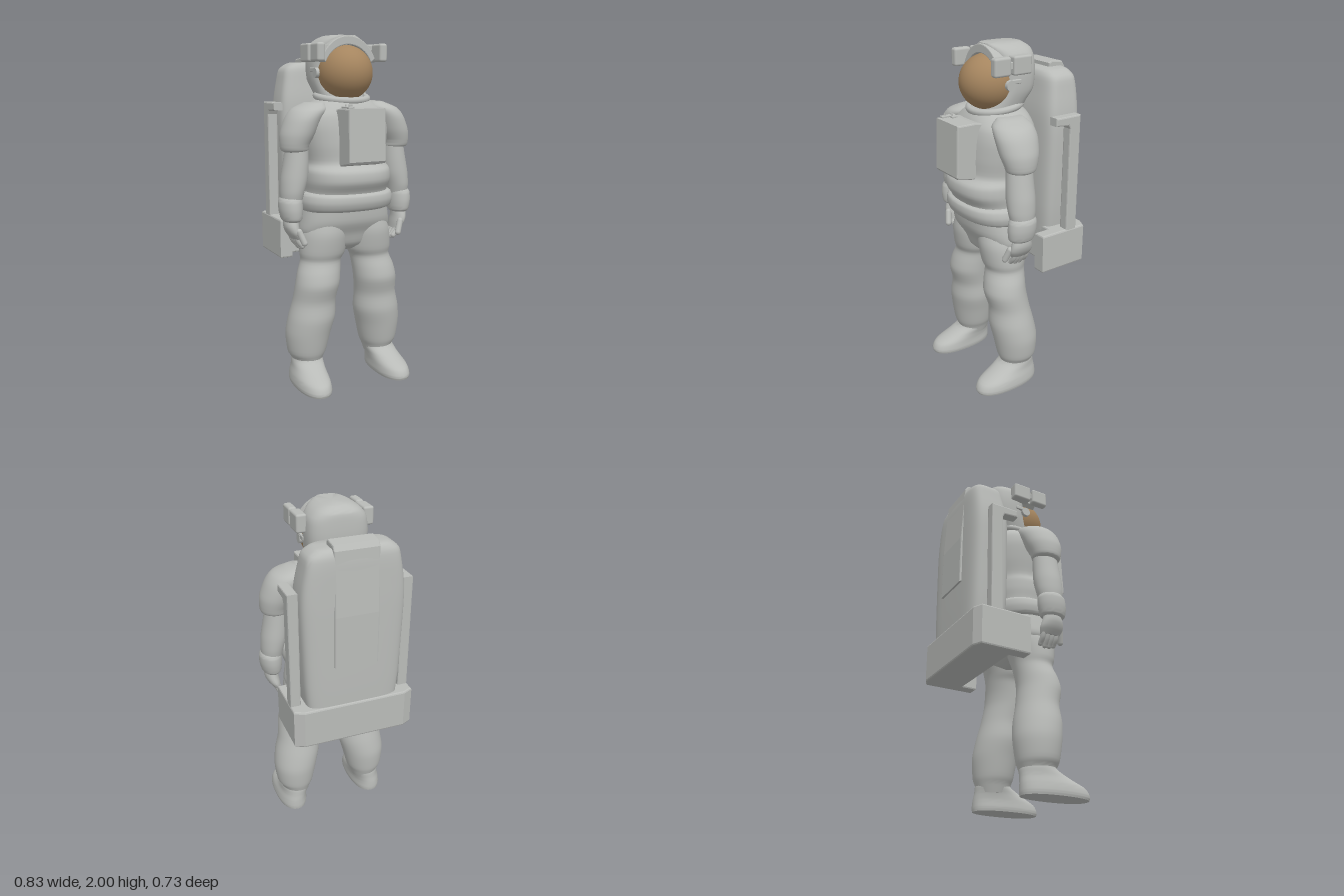
import * as THREE from 'three';
import { toCreasedNormals } from 'three/addons/utils/BufferGeometryUtils.js';
import { RoundedBoxGeometry } from 'three/addons/geometries/RoundedBoxGeometry.js';

const suit = new THREE.MeshStandardMaterial({ color: 0xb9bbb8 });
suit.name = 'suit grey';
const gold = new THREE.MeshStandardMaterial({ color: 0xa5855f });
gold.name = 'visor bronze';

// Smooth upright loft. Each section: [y, centre x, front z, back z, half width, squareness]
function loft(sections, s = 1, steps = 4, sides = 32, crease = 0.7) {
  const a = new THREE.CatmullRomCurve3(sections.map(q => new THREE.Vector3(q[1] * s, q[0], q[4])), false, 'catmullrom', 0.4);
  const b = new THREE.CatmullRomCurve3(sections.map(q => new THREE.Vector3(q[2], q[3], q[5] ?? 2)), false, 'catmullrom', 0.4);
  const rows = (sections.length - 1) * steps, pos = [], idx = [];
  const power = (v, e) => Math.sign(v) * Math.abs(v) ** (2 / e);
  for (let i = 0; i <= rows; i++) {
    const m = a.getPoint(i / rows), n = b.getPoint(i / rows);
    for (let j = 0; j < sides; j++) {
      const t = j / sides * Math.PI * 2;
      pos.push(m.x + m.z * power(Math.cos(t), n.z), m.y, (n.x + n.y) / 2 + (n.x - n.y) / 2 * power(Math.sin(t), n.z));
    }
  }
  for (let i = 0; i < rows; i++) for (let j = 0; j < sides; j++) {
    const k = (j + 1) % sides, p = i * sides, r = p + sides;
    idx.push(p + j, r + j, p + k, p + k, r + j, r + k);
  }
  // end caps
  for (const i of [0, rows]) {
    const m = a.getPoint(i / rows), n = b.getPoint(i / rows), c = pos.length / 3;
    pos.push(m.x, m.y, (n.x + n.y) / 2);
    for (let j = 0; j < sides; j++) {
      const p = i * sides + j, q = i * sides + (j + 1) % sides;
      idx.push(c, ...(i ? [q, p] : [p, q]));
    }
  }
  const g = new THREE.BufferGeometry();
  g.setAttribute('position', new THREE.Float32BufferAttribute(pos, 3));
  g.setIndex(idx);
  return toCreasedNormals(g, crease);
}

// Bevelled extrusion of a point outline
function slab(points, depth, bevel) {
  const shape = new THREE.Shape(points.map(p => new THREE.Vector2(...p)));
  const g = new THREE.ExtrudeGeometry(shape, {
    depth: depth - 2 * bevel, bevelSize: bevel, bevelOffset: -bevel, bevelThickness: bevel, bevelSegments: 2, curveSegments: 20
  });
  return g.translate(0, 0, bevel - depth / 2);
}
// Outline given as (z, y), thickness along x
const sideSlab = (points, width, x, bevel = 0.008) => slab(points, width, bevel).rotateY(-Math.PI / 2).translate(x, 0, 0);
const box = (w, h, d, x, y, z, r = 0.012) => new RoundedBoxGeometry(w, h, d, 2, r).translate(x, y, z);

export function createModel() {
  const root = new THREE.Group();
  const add = (name, geometry, material = suit, parent = root) => {
    const m = new THREE.Mesh(geometry, material);
    m.name = name;
    parent.add(m);
    return m;
  };

  // Torso, belt and shorts
  add('torso', loft([
    [1.08, 0, 0.27, -0.12, 0.255, 2.4], [1.14, 0, 0.28, -0.12, 0.248, 2.4], [1.2, 0, 0.315, -0.13, 0.255, 2.4],
    [1.26, 0, 0.31, -0.13, 0.252, 2.4], [1.305, 0, 0.265, -0.13, 0.235, 2.4], [1.4, 0, 0.26, -0.14, 0.25, 2.5],
    [1.5, 0, 0.25, -0.14, 0.262, 2.5], [1.57, 0, 0.235, -0.13, 0.25, 2.4], [1.62, 0, 0.21, -0.12, 0.2, 2.2],
    [1.655, 0, 0.185, -0.1, 0.145, 2]]));
  add('belt', loft([
    [1.03, 0, 0.25, -0.1, 0.255, 2.4], [1.045, 0, 0.285, -0.12, 0.272, 2.4], [1.085, 0, 0.302, -0.13, 0.28, 2.4],
    [1.125, 0, 0.298, -0.13, 0.27, 2.4], [1.14, 0, 0.27, -0.12, 0.25, 2.4]]));
  add('shorts', loft([
    [0.79, 0, 0.14, 0.02, 0.06], [0.83, 0, 0.19, -0.04, 0.2, 2.3], [0.9, 0, 0.215, -0.07, 0.275, 2.4],
    [0.97, 0, 0.25, -0.09, 0.27, 2.4], [1.06, 0, 0.26, -0.1, 0.25, 2.4]]));

  // Limbs, mirrored
  for (const s of [1, -1]) {
    const side = s > 0 ? 'left' : 'right';
    const leg = new THREE.Group();
    leg.name = side + 'Leg';
    root.add(leg);
    add(side + 'Trouser', loft([
      [0.1, 0.24, 0.15, -0.03, 0.08], [0.15, 0.238, 0.165, -0.045, 0.095], [0.19, 0.24, 0.18, -0.055, 0.115],
      [0.3, 0.233, 0.2, -0.063, 0.134], [0.4, 0.215, 0.215, -0.05, 0.14], [0.5, 0.203, 0.21, -0.028, 0.128],
      [0.6, 0.19, 0.235, -0.012, 0.13], [0.67, 0.178, 0.225, -0.012, 0.127], [0.74, 0.16, 0.205, -0.02, 0.12],
      [0.79, 0.15, 0.22, -0.03, 0.135], [0.9, 0.137, 0.235, -0.065, 0.138], [1, 0.12, 0.22, -0.06, 0.11]], s), suit, leg);
    add(side + 'Boot', loft([
      [0, 0.26, 0.352, -0.05, 0.092, 2.3], [0.02, 0.26, 0.357, -0.052, 0.097, 2.3], [0.06, 0.258, 0.335, -0.05, 0.094, 2.2],
      [0.1, 0.25, 0.25, -0.045, 0.089, 2.1], [0.14, 0.242, 0.172, -0.042, 0.091], [0.18, 0.24, 0.15, -0.03, 0.085]], s), suit, leg);

    const arm = new THREE.Group();
    arm.name = side + 'Arm';
    root.add(arm);
    add(side + 'Sleeve', loft([
      [1.37, 0.318, 0.165, 0.035, 0.06], [1.38, 0.318, 0.185, 0.015, 0.075], [1.41, 0.318, 0.195, 0.005, 0.08],
      [1.47, 0.298, 0.21, -0.015, 0.096], [1.55, 0.262, 0.215, -0.03, 0.1], [1.6, 0.222, 0.2, -0.025, 0.1],
      [1.635, 0.185, 0.15, 0, 0.055]], s), suit, arm);
    add(side + 'Forearm', loft([
      [1.1, 0.343, 0.175, 0.035, 0.06], [1.15, 0.338, 0.185, 0.025, 0.067], [1.22, 0.325, 0.187, 0.02, 0.075],
      [1.3, 0.314, 0.183, 0.022, 0.071], [1.4, 0.305, 0.175, 0.025, 0.062]], s), suit, arm);
    add(side + 'Cuff', loft([
      [0.985, 0.345, 0.175, 0.045, 0.045], [1, 0.347, 0.19, 0.035, 0.057], [1.05, 0.35, 0.195, 0.025, 0.065],
      [1.1, 0.35, 0.188, 0.025, 0.065], [1.125, 0.345, 0.17, 0.04, 0.055]], s), suit, arm);
    add(side + 'Palm', loft([
      [0.885, 0.325, 0.165, 0.045, 0.024], [0.92, 0.34, 0.18, 0.038, 0.036], [0.96, 0.35, 0.175, 0.048, 0.041],
      [1.01, 0.348, 0.155, 0.06, 0.04]], s, 3, 20), suit, arm);
    for (let f = 0; f < 4; f++) {
      const z = 0.062 + f * 0.028, tip = 0.828 + Math.abs(f - 1.4) * 0.008;
      const path = new THREE.CatmullRomCurve3([[0.337, 0.92], [0.322, 0.87], [0.297, tip]]
        .map(([x, y]) => new THREE.Vector3(x * s, y, z)));
      add(side + 'Finger', new THREE.TubeGeometry(path, 6, 0.015, 10), suit, arm);
      add(side + 'Fingertip', new THREE.SphereGeometry(0.015, 10, 8).translate(0.297 * s, tip, z), suit, arm);
    }
    const thumb = add(side + 'Thumb', new THREE.CapsuleGeometry(0.018, 0.07, 4, 10), suit, arm);
    thumb.position.set(0.315 * s, 0.9, 0.182);
    thumb.rotation.set(-0.25, 0, -0.35 * s);
  }

  // Helmet
  const helmet = new THREE.Group();
  helmet.name = 'helmet';
  root.add(helmet);
  const collar = add('collar', new THREE.TorusGeometry(0.145, 0.02, 10, 40).rotateX(Math.PI / 2), suit, helmet);
  collar.position.set(0, 1.662, 0.045);
  collar.rotation.x = 0.13;
  add('helmetShell', loft([
    [1.65, 0, 0.15, -0.1, 0.135, 2.3], [1.7, 0, 0.12, -0.115, 0.15, 2.6], [1.76, 0, 0.09, -0.142, 0.165, 3],
    [1.85, 0, 0.085, -0.15, 0.17, 3], [1.93, 0, 0.1, -0.147, 0.16, 3], [1.97, 0, 0.115, -0.14, 0.13, 3],
    [1.99, 0, 0.12, -0.115, 0.1, 3], [2, 0, 0.12, -0.1, 0.075, 3]], 1, 3), suit, helmet);
  add('visor', new THREE.SphereGeometry(1, 40, 28).scale(0.153, 0.153, 0.165).translate(0, 1.795, 0.088), gold, helmet);
  const arch = [];
  for (let i = 0; i <= 16; i++) {
    const t = Math.PI * (0.13 + 0.74 * i / 16);
    arch.push([0.182 * Math.cos(t), 1.79 + 0.207 * Math.sin(t)]);
  }
  for (let i = 16; i >= 0; i--) {
    const t = Math.PI * (0.13 + 0.74 * i / 16);
    arch.push([0.153 * Math.cos(t), 1.79 + 0.158 * Math.sin(t)]);
  }
  add('brim', slab(arch, 0.1, 0.005).translate(0, 0, 0.085), suit, helmet);
  for (const s of [1, -1]) {
    add('lampHousing', box(0.06, 0.1, 0.115, 0.188 * s, 1.905, 0.013), suit, helmet);
    add('lampNeck', box(0.024, 0.04, 0.04, 0.19 * s, 1.905, 0.075, 0.004), suit, helmet);
    add('lamp', box(0.048, 0.1, 0.105, 0.192 * s, 1.905, 0.138, 0.014), suit, helmet);
    const latch = add('visorLatch', new THREE.CylinderGeometry(0.028, 0.028, 0.02, 20).rotateZ(Math.PI / 2), suit, helmet);
    latch.position.set(0.166 * s, 1.795, 0.06);
    add('latchArm', box(0.016, 0.025, 0.06, 0.166 * s, 1.812, 0.02, 0.006), suit, helmet);
  }

  // Chest control unit
  const chest = new THREE.Group();
  chest.name = 'chestUnit';
  root.add(chest);
  add('chestBox', sideSlab([[0.2, 1.6], [0.25, 1.608], [0.357, 1.608], [0.369, 1.325], [0.36, 1.312], [0.245, 1.29], [0.2, 1.34]],
    0.225, -0.002), suit, chest);
  add('switchPlate', box(0.028, 0.012, 0.085, -0.092, 1.612, 0.295, 0.003), suit, chest);
  add('switchPlate', box(0.03, 0.012, 0.035, -0.062, 1.612, 0.275, 0.003), suit, chest);
  for (const [x, z] of [[-0.092, 0.275], [-0.092, 0.316], [-0.062, 0.284]])
    add('switch', new THREE.CylinderGeometry(0.005, 0.005, 0.014, 10).translate(x, 1.622, z), suit, chest);

  // Backpack with raised spine, side rails and wrap-round base
  const pack = new THREE.Group();
  pack.name = 'backpack';
  root.add(pack);
  add('packBody', loft([
    [0.93, 0, -0.12, -0.35, 0.265, 5], [1.1, 0, -0.11, -0.352, 0.28, 5], [1.5, 0, -0.11, -0.352, 0.292, 5],
    [1.64, 0, -0.115, -0.35, 0.285, 5], [1.75, 0, -0.132, -0.348, 0.265, 5], [1.815, 0, -0.142, -0.343, 0.25, 4.5],
    [1.845, 0, -0.155, -0.33, 0.215, 4], [1.855, 0, -0.17, -0.315, 0.19, 4]], 1, 3, 48), suit, pack);
  add('packSpine', sideSlab([[-0.232, 1.8], [-0.232, 1.875], [-0.25, 1.886], [-0.325, 1.878], [-0.342, 1.85], [-0.362, 1.5],
    [-0.364, 1.2], [-0.3, 1.2]], 0.25, 0), suit, pack);
  for (const s of [1, -1])
    add('sideRail', sideSlab([[-0.11, 1.63], [-0.278, 1.63], [-0.278, 0.94], [-0.205, 0.94], [-0.205, 1.56], [-0.195, 1.578], [-0.11, 1.585]],
      0.06, 0.323 * s), suit, pack);
  const half = [[0.28, -0.13], [0.28, -0.036], [0.355, -0.036], [0.355, -0.335], [0.3, -0.361]];
  const plan = [...half, ...half.map(([x, z]) => [-x, z]).reverse()].map(([x, z]) => [x, -z]);
  add('packBase', slab(plan, 0.232, 0.01).rotateX(-Math.PI / 2).translate(0, 0.846, 0), suit, pack);

  return root;
}
